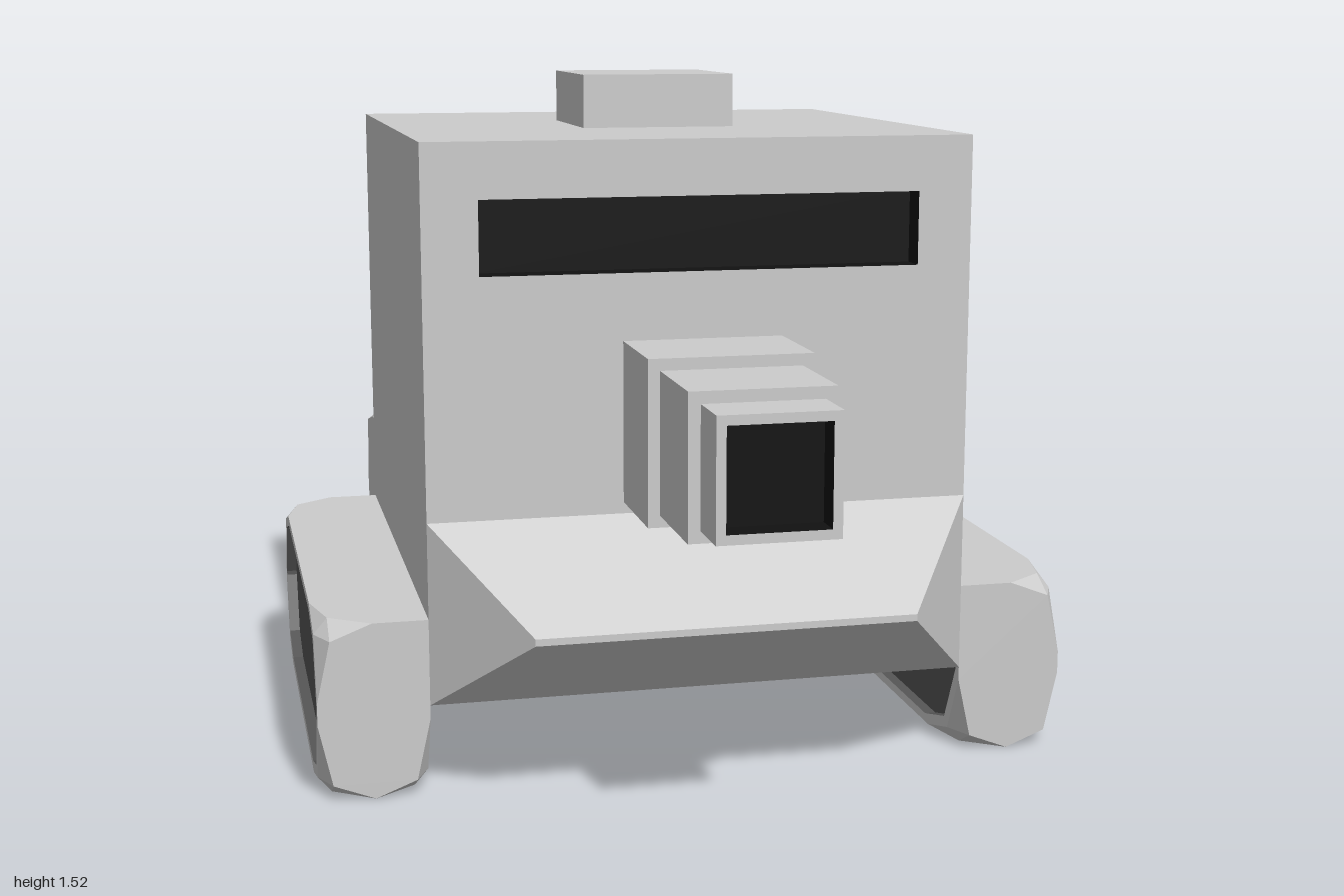
import * as THREE from 'three';
import { ConvexGeometry } from 'three/addons/geometries/ConvexGeometry.js';

const grey = new THREE.MeshStandardMaterial({ color: 0xcccccc });
const panelDark = new THREE.MeshStandardMaterial({ color: 0x565656, side: THREE.DoubleSide });
const black = new THREE.MeshStandardMaterial({ color: 0x111111, side: THREE.DoubleSide });
const V = (x, y, z) => new THREE.Vector3(x, y, z);

function add(parent, name, geometry, material = grey) {
  const mesh = new THREE.Mesh(geometry, material);
  mesh.name = name;
  parent.add(mesh);
  return mesh;
}

// Box given by its limits; open drops the +z face
function box(x0, x1, y0, y1, z0, z1, open = false) {
  const g = new THREE.BoxGeometry(x1 - x0, y1 - y0, z1 - z0);
  g.translate((x0 + x1) / 2, (y0 + y1) / 2, (z0 + z1) / 2);
  if (open) {
    const index = [...g.index.array];
    index.splice(24, 6);
    g.setIndex(index);
    g.clearGroups();
  }
  return g;
}

const rect = (x0, x1, y0, y1) => [[x0, y0], [x1, y0], [x1, y1], [x0, y1]];
const toShape = pts => new THREE.Shape(pts.map(p => new THREE.Vector2(...p)));

// Flat face with a hole, facing +z
function frame(outer, hole) {
  const s = toShape(outer);
  s.holes.push(toShape(hole));
  return new THREE.ShapeGeometry(s);
}

// Recess behind an outline: walls and a floor at -depth
function tray(outline, depth) {
  const floor = new THREE.ShapeGeometry(toShape(outline)).toNonIndexed();
  floor.translate(0, 0, -depth);
  const pos = [...floor.attributes.position.array];
  outline.forEach(([ax, ay], i) => {
    const [bx, by] = outline[(i + 1) % outline.length];
    pos.push(ax, ay, 0, ax, ay, -depth, bx, by, -depth, ax, ay, 0, bx, by, -depth, bx, by, 0);
  });
  const g = new THREE.BufferGeometry();
  g.setAttribute('position', new THREE.Float32BufferAttribute(pos, 3));
  g.computeVertexNormals();
  return g;
}

// Box whose chosen corners are faceted off.
// e: cut length along each edge, m: offsets of the middle facet points
function facetedBox(min, max, isCut, e, m) {
  const pts = [];
  for (const sx of [-1, 1]) for (const sy of [-1, 1]) for (const sz of [-1, 1]) {
    const p = (dx, dy, dz) => pts.push(V(
      sx < 0 ? min.x + dx : max.x - dx,
      sy < 0 ? min.y + dy : max.y - dy,
      sz < 0 ? min.z + dz : max.z - dz));
    if (!isCut(sx, sy, sz)) { p(0, 0, 0); continue; }
    p(e.x, 0, 0); p(0, e.y, 0); p(0, 0, e.z);
    p(m.x, m.y, 0); p(m.x, 0, m.z); p(0, m.y, m.z);
  }
  return new ConvexGeometry(pts);
}

// Remove the triangles lying in the planes z = a and z = b
function dropEnds(g, a, b) {
  const src = g.attributes.position.array, pos = [];
  for (let i = 0; i < src.length; i += 9) {
    const lies = z => [2, 5, 8].every(k => Math.abs(src[i + k] - z) < 1e-5);
    if (!lies(a) && !lies(b)) pos.push(...src.slice(i, i + 9));
  }
  const out = new THREE.BufferGeometry();
  out.setAttribute('position', new THREE.Float32BufferAttribute(pos, 3));
  out.computeVertexNormals();
  return out;
}

// Track, built with its length along x and its outer side facing +z
function makeTrack(name) {
  const track = new THREE.Group();
  track.name = name;
  const hx = 0.6, h = 0.39, w = 0.24;
  const e = V(0.19, 0.17, 0.12), m = V(0.065, 0.035, 0.03);
  const outline = (inset, cutTop) => {
    const X = hx - inset, y0 = inset, y1 = h - inset;
    const top = s => cutTop ? [[s * X, y1 - e.y], [s * (X - m.x), y1 - m.y], [s * (X - e.x), y1]] : [[s * X, y1]];
    const low = s => [[s * (X - e.x), y0], [s * (X - m.x), y0 + m.y], [s * X, y0 + e.y]];
    return [...low(1), ...top(1), ...top(-1).reverse(), ...low(-1).reverse()];
  };
  const hull = facetedBox(V(-hx, 0, 0), V(hx, h, w), (sx, sy, sz) => sy < 0 || sz > 0, e, m);
  add(track, 'trackBelt', dropEnds(hull, 0, w));
  const hole = outline(0.02, true);
  for (const outer of [true, false]) {
    const side = new THREE.Group();
    side.name = outer ? 'outerSide' : 'innerSide';
    add(side, 'trackRim', frame(outline(0, outer), hole));
    add(side, 'trackPanel', tray(hole, 0.025), panelDark);
    if (outer) side.position.z = w;
    else side.rotation.y = Math.PI;
    track.add(side);
  }
  return track;
}

export function createModel() {
  const model = new THREE.Group();
  model.name = 'trackedRobot';

  // Body with a recessed visor slot
  add(model, 'body', box(-0.6, 0.6, 0.2, 1.4, -0.8, 0.4, true));
  const slot = rect(-0.48, 0.48, 1.12, 1.28);
  add(model, 'bodyFront', frame(rect(-0.6, 0.6, 0.2, 1.4), slot)).position.z = 0.4;
  add(model, 'visor', tray(slot, 0.06), black).position.z = 0.4;
  add(model, 'topHatch', box(-0.175, 0.175, 1.4, 1.52, -0.38, -0.03));

  // Stepped square barrel with an open muzzle
  [[0.175, 0.4, 0.64], [0.15, 0.64, 0.88], [0.125, 0.88, 1]].forEach(([r, z0, z1], i) =>
    add(model, 'barrelSection' + (i + 1), box(-r, r, 0.8 - r, 0.8 + r, z0, z1, i === 2)));
  const bore = rect(-0.105, 0.105, 0.695, 0.905);
  add(model, 'muzzle', frame(rect(-0.125, 0.125, 0.675, 0.925), bore)).position.z = 1;
  add(model, 'bore', tray(bore, 0.06), black).position.z = 1;

  // Wedge plough
  const plough = [];
  for (const s of [-1, 1]) plough.push(
    V(s * 0.6, 0.2, 0.4), V(s * 0.6, 0.6, 0.4), V(s * 0.41, 0.39, 0.64), V(s * 0.41, 0.405, 0.64));
  add(model, 'plough', new ConvexGeometry(plough));

  // Rear bumper, faceted at its back corners
  add(model, 'rearBumper', facetedBox(V(-0.6, 0.2, -1), V(0.6, 0.6, -0.8),
    (sx, sy, sz) => sz < 0, V(0.2, 0.2, 0.18), V(0.045, 0.035, 0.03)));

  // Tracks
  for (const s of [-1, 1]) {
    const track = makeTrack(s > 0 ? 'leftTrack' : 'rightTrack');
    track.rotation.y = s * Math.PI / 2;
    track.position.set(s * 0.6, 0, -0.2);
    model.add(track);
  }
  return model;
}
